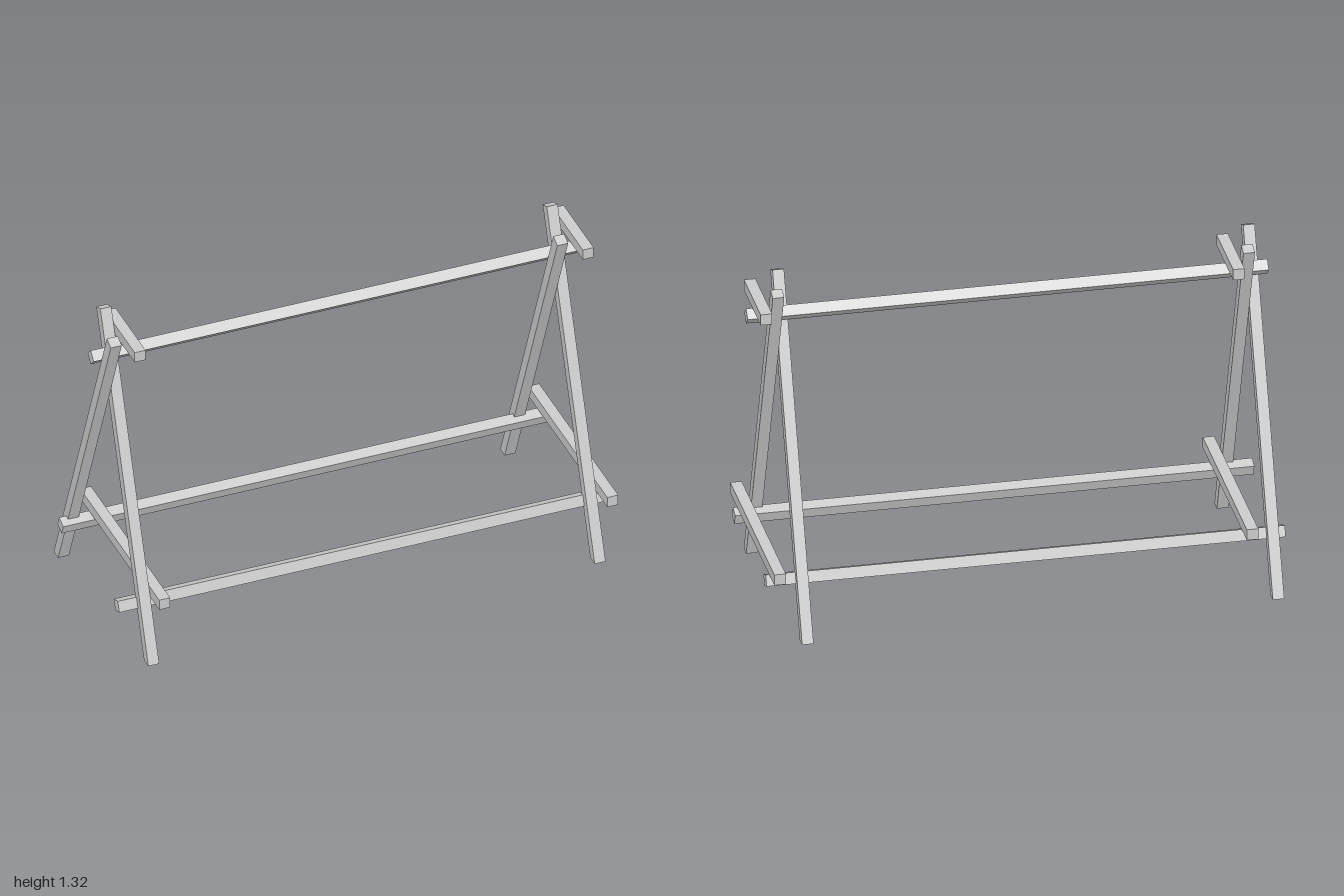
import * as THREE from 'three';

const T = 0.044; // thickness of every square beam
const material = new THREE.MeshStandardMaterial({ color: 0xcccccc, flatShading: true });

export function createModel() {
  const model = new THREE.Group();
  model.name = 'trestleRack';

  const add = (name, geometry, parent) => {
    const mesh = new THREE.Mesh(geometry, material);
    mesh.name = name;
    parent.add(mesh);
    return mesh;
  };

  // Slanted leg: level cut at the floor, square cut at the top
  const leg = (name, x, footZ, topZ, topY, parent) => {
    const length = Math.hypot(topZ - footZ, topY);
    const nz = (topY / length) * T / 2;
    const ny = (-(topZ - footZ) / length) * T / 2;
    const half = T / 2 / (topY / length) * 0.94;
    const profile = new THREE.Shape([
      new THREE.Vector2(footZ - half, 0),
      new THREE.Vector2(footZ + half, 0),
      new THREE.Vector2(topZ + nz, topY + ny),
      new THREE.Vector2(topZ - nz, topY - ny),
    ]);
    const geometry = new THREE.ExtrudeGeometry(profile, { depth: T, bevelEnabled: false });
    geometry.rotateY(-Math.PI / 2).translate(T / 2, 0, 0);
    add(name, geometry, parent).position.x = x;
  };

  // Level tie across a pair of legs
  const tie = (name, x, y, z0, z1, parent) => {
    add(name, new THREE.BoxGeometry(T, T, z1 - z0), parent).position.set(x, y, (z0 + z1) / 2);
  };

  // Long rail between the trestles, turned about its own axis
  const rail = (name, x0, x1, y, z, angle) => {
    const mesh = add(name, new THREE.BoxGeometry(x1 - x0, T, T), model);
    mesh.position.set((x0 + x1) / 2, y, z);
    mesh.rotation.x = angle;
  };

  // Two identical trestles; the ties sit on the left face of one and the inside of the other
  for (const [name, x, tieX] of [['right', -0.903, -0.857], ['left', 0.903, 0.956]]) {
    const trestle = new THREE.Group();
    trestle.name = name + 'Trestle';
    model.add(trestle);
    leg('frontLeg', x, 0.396, -0.084, 1.313, trestle);
    leg('backLeg', x - 0.046, -0.395, 0.136, 1.304, trestle);
    tie('lowerTie', tieX, 0.264, -0.381, 0.413, trestle);
    tie('upperTie', tieX, 1.235, -0.135, 0.167, trestle);
  }

  // Top rail rests on edge in the crook; lower rails follow the leg slopes
  rail('topRail', -1, 1, 1.176, 0.025, Math.PI / 4);
  rail('frontRail', -1, 0.992, 0.21, 0.285, -Math.atan2(0.48, 1.313));
  rail('backRail', -1, 0.992, 0.215, -0.279, Math.atan2(0.531, 1.304));

  return model;
}
